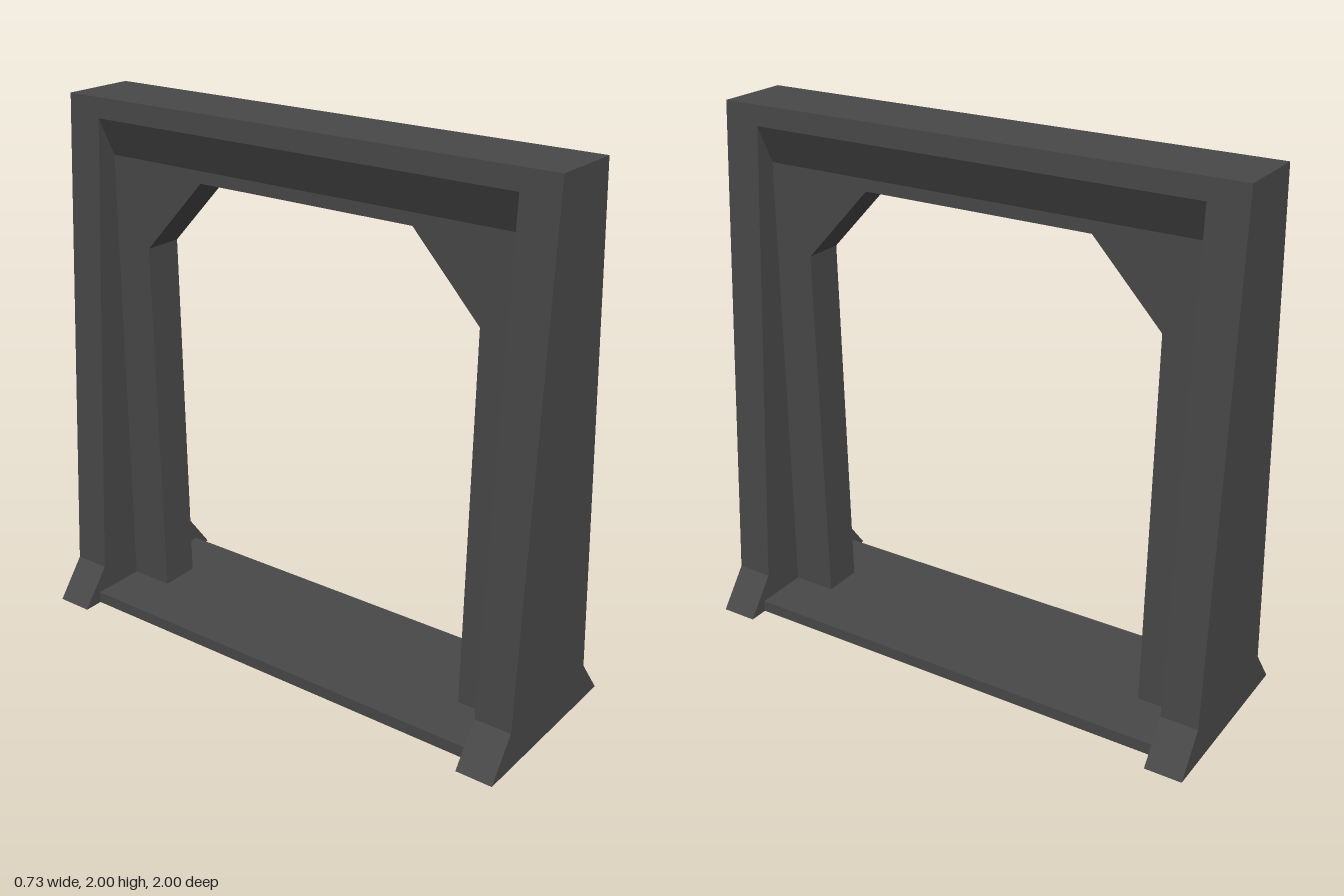
import * as THREE from 'three';

const material = new THREE.MeshStandardMaterial({ color: 0x484848, flatShading: true });

// Mirrors a right-hand outline (listed bottom to top) and extrudes it, centred on its depth
function symmetricPrism(name, half, depth) {
  const mirrored = half.map(([x, y]) => [-x, y]).reverse();
  const points = [...half, ...mirrored].map(([x, y]) => new THREE.Vector2(x, y));
  const geometry = new THREE.ExtrudeGeometry(new THREE.Shape(points), { depth, bevelEnabled: false });
  geometry.translate(0, 0, -depth / 2);
  const mesh = new THREE.Mesh(geometry, material);
  mesh.name = name;
  return mesh;
}

export function createModel() {
  const group = new THREE.Group();
  group.name = 'portalFrame';
  const inner = 0.86; // inner face of the end pillars
  const floorTop = 0.045;

  // Tapered end pillars with flared feet
  for (const side of [1, -1]) {
    const pillar = symmetricPrism(
      side > 0 ? 'frontPillar' : 'backPillar',
      [[0.365, 0], [0.255, 0.145], [0.142, 2]],
      1 - inner
    );
    pillar.position.z = side * (1 + inner) / 2;
    group.add(pillar);
  }

  // Top beam, narrowing underneath to the web
  group.add(symmetricPrism('topBeam', [[0.077, 1.78], [0.147, 1.925], [0.142, 2]], inner * 2));

  // Thin web with chamfered opening, drawn in the side plane
  const web = symmetricPrism(
    'archWeb',
    [[0.445, 1.735], [0.708, 1.45], [0.69, floorTop], [inner, floorTop], [inner, 1.78]],
    0.154
  );
  web.rotation.y = Math.PI / 2;
  group.add(web);

  // Floor slab between the pillars
  const floor = new THREE.Mesh(new THREE.BoxGeometry(0.58, floorTop, inner * 2), material);
  floor.name = 'floorSlab';
  floor.position.y = floorTop / 2;
  group.add(floor);

  return group;
}
